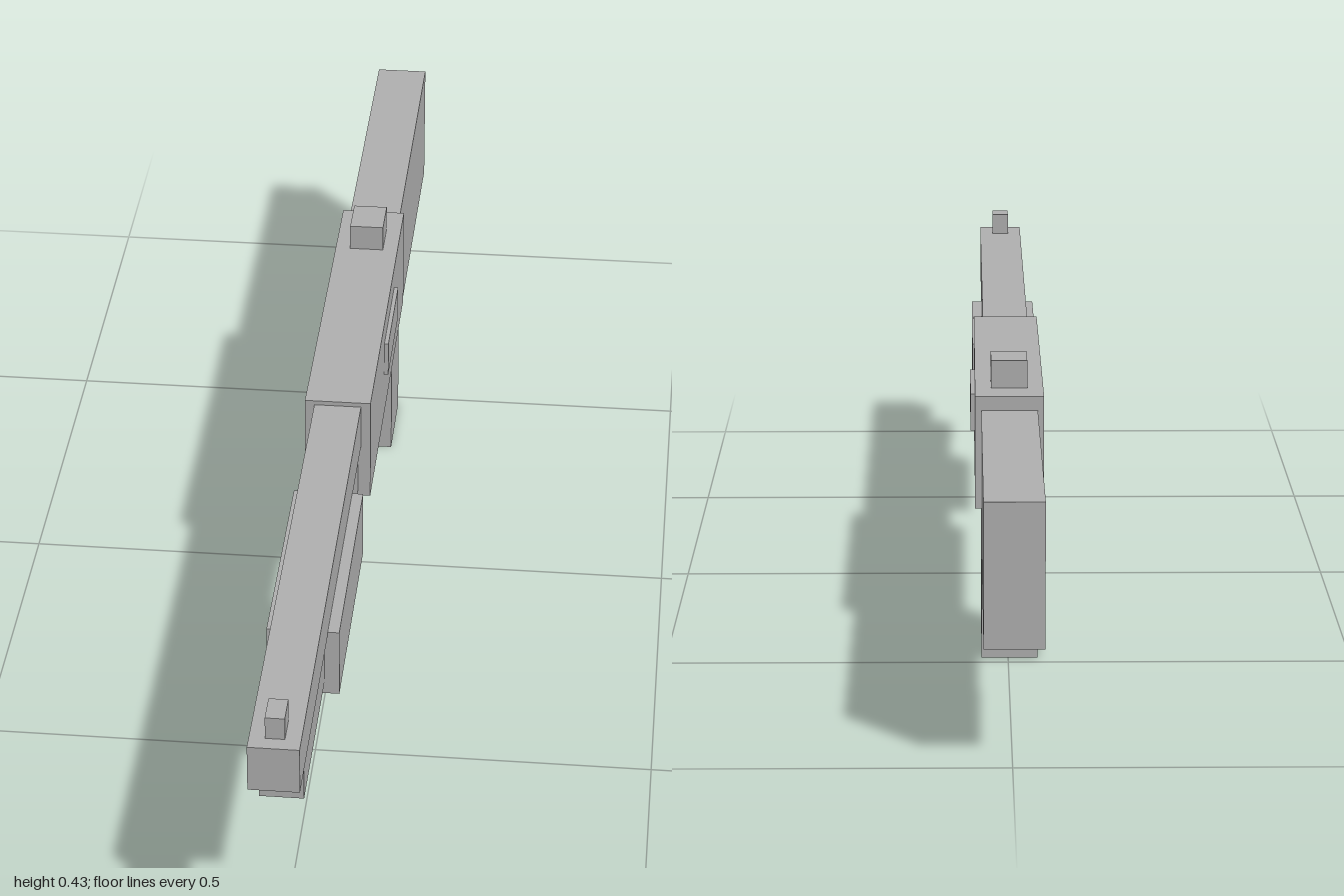
import * as THREE from 'three';

const CENTER_X = -0.0024; // body axis, offset slightly by the side port

export function createModel() {
  const group = new THREE.Group();
  const grey = new THREE.MeshStandardMaterial({ color: 0xb2b2b2 });
  grey.name = 'plain grey';

  // Box from its extents: [min, max] on each axis
  function block(name, [x0, x1], [y0, y1], [z0, z1]) {
    const mesh = new THREE.Mesh(new THREE.BoxGeometry(x1 - x0, y1 - y0, z1 - z0), grey);
    mesh.position.set((x0 + x1) / 2, (y0 + y1) / 2, (z0 + z1) / 2);
    mesh.name = name;
    group.add(mesh);
  }
  // Extent across the body axis
  const across = (width) => [CENTER_X - width / 2, CENTER_X + width / 2];

  // Barrel and the tube below it
  block('barrel', across(0.071), [0.308, 0.379], [0.138, 1]);
  block('magazineTube', across(0.062), [0.228, 0.291], [0.138, 0.91]);
  block('slidingForeEnd', across(0.104), [0.206, 0.313], [0.276, 0.635]);

  // Main body with raised port on the left
  block('receiver', across(0.1), [0.219, 0.386], [-0.453, 0.138]);
  block('ejectionPort', [0.04, 0.054], [0.294, 0.35], [-0.273, -0.097]);

  // Stock and grip
  block('stock', across(0.082), [0.164, 0.365], [-1, -0.453]);
  block('grip', across(0.082), [0, 0.219], [-0.476, -0.342]);

  // Sights
  block('rearSight', across(0.053), [0.386, 0.427], [-0.397, -0.329]);
  block('frontSight', across(0.027), [0.379, 0.413], [0.934, 0.978]);

  return group;
}
